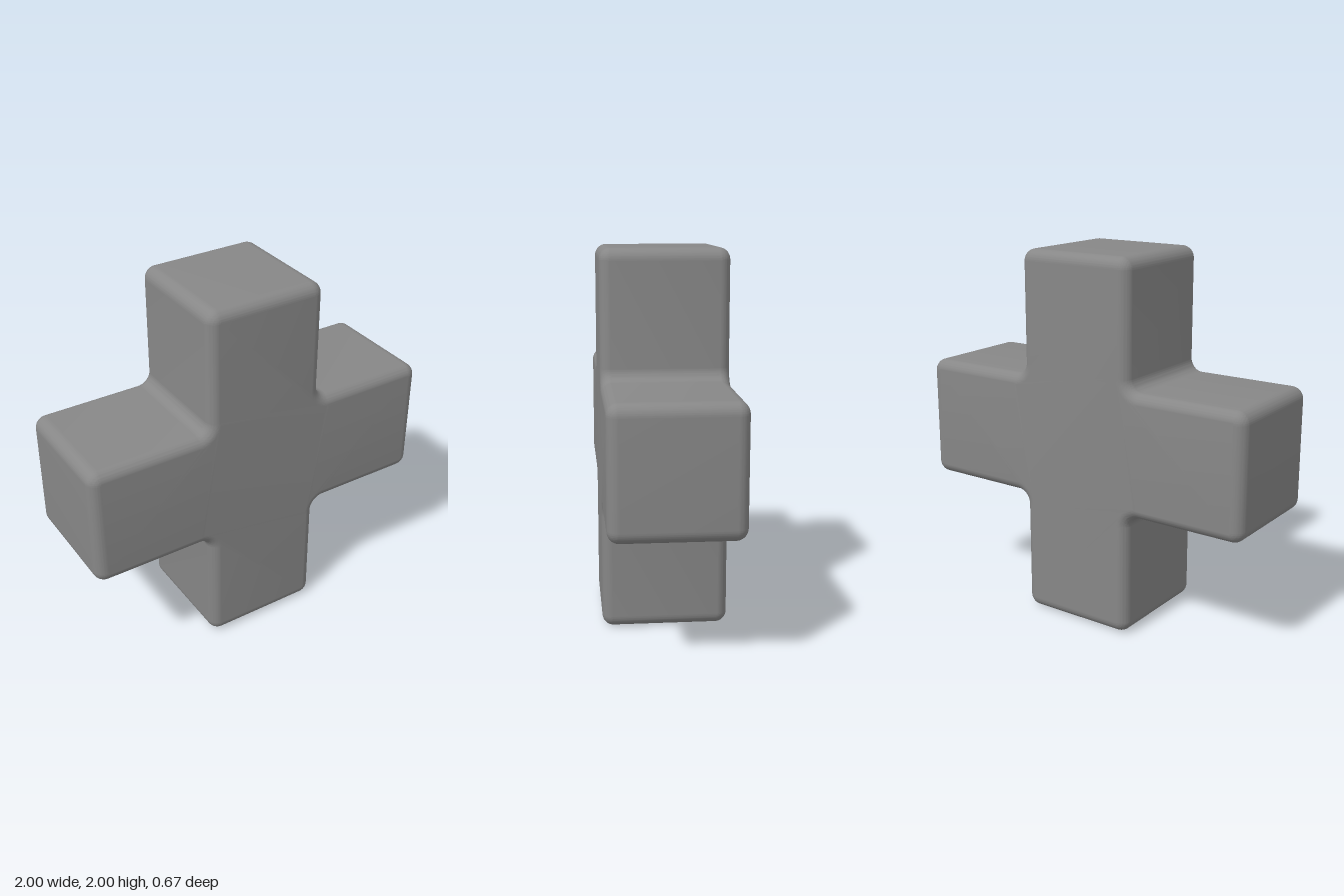
import * as THREE from 'three';
import { toCreasedNormals } from 'three/addons/utils/BufferGeometryUtils.js';

const HALF = 1 / 3;   // half width of an arm, also half the depth
const ROUND = 0.065;  // corner radius of the outline
const BEVEL = 0.06;   // rounding of the front and back edges

// Plus-shaped outline: every arm has one inner fillet and two rounded tips
function crossOutline() {
  const shape = new THREE.Shape();
  for (let arm = 0; arm < 4; arm++) {
    const turn = arm * Math.PI / 2;
    const corner = (x, y, from, to, clockwise) => {
      const c = new THREE.Vector2(x, y).rotateAround(new THREE.Vector2(), turn);
      shape.absarc(c.x, c.y, ROUND, from + turn, to + turn, clockwise);
    };
    corner(HALF + ROUND, -HALF - ROUND, Math.PI, Math.PI / 2, true);
    corner(1 - ROUND, -HALF + ROUND, -Math.PI / 2, 0, false);
    corner(1 - ROUND, HALF - ROUND, 0, Math.PI / 2, false);
  }
  shape.closePath();
  return shape;
}

export function createModel() {
  const group = new THREE.Group();
  group.name = 'roundedCross';

  // Cross body, bevelled inward so that the outline keeps its size
  const depth = 2 * (HALF - BEVEL);
  const geometry = new THREE.ExtrudeGeometry(crossOutline(), {
    depth,
    curveSegments: 10,
    bevelEnabled: true,
    bevelThickness: BEVEL,
    bevelSize: BEVEL,
    bevelOffset: -BEVEL,
    bevelSegments: 16,
  });
  geometry.translate(0, 1, -depth / 2);

  const body = new THREE.Mesh(
    toCreasedNormals(geometry, 0.7),
    new THREE.MeshStandardMaterial({ color: 0x878787 })
  );
  body.name = 'crossBody';
  group.add(body);
  return group;
}
